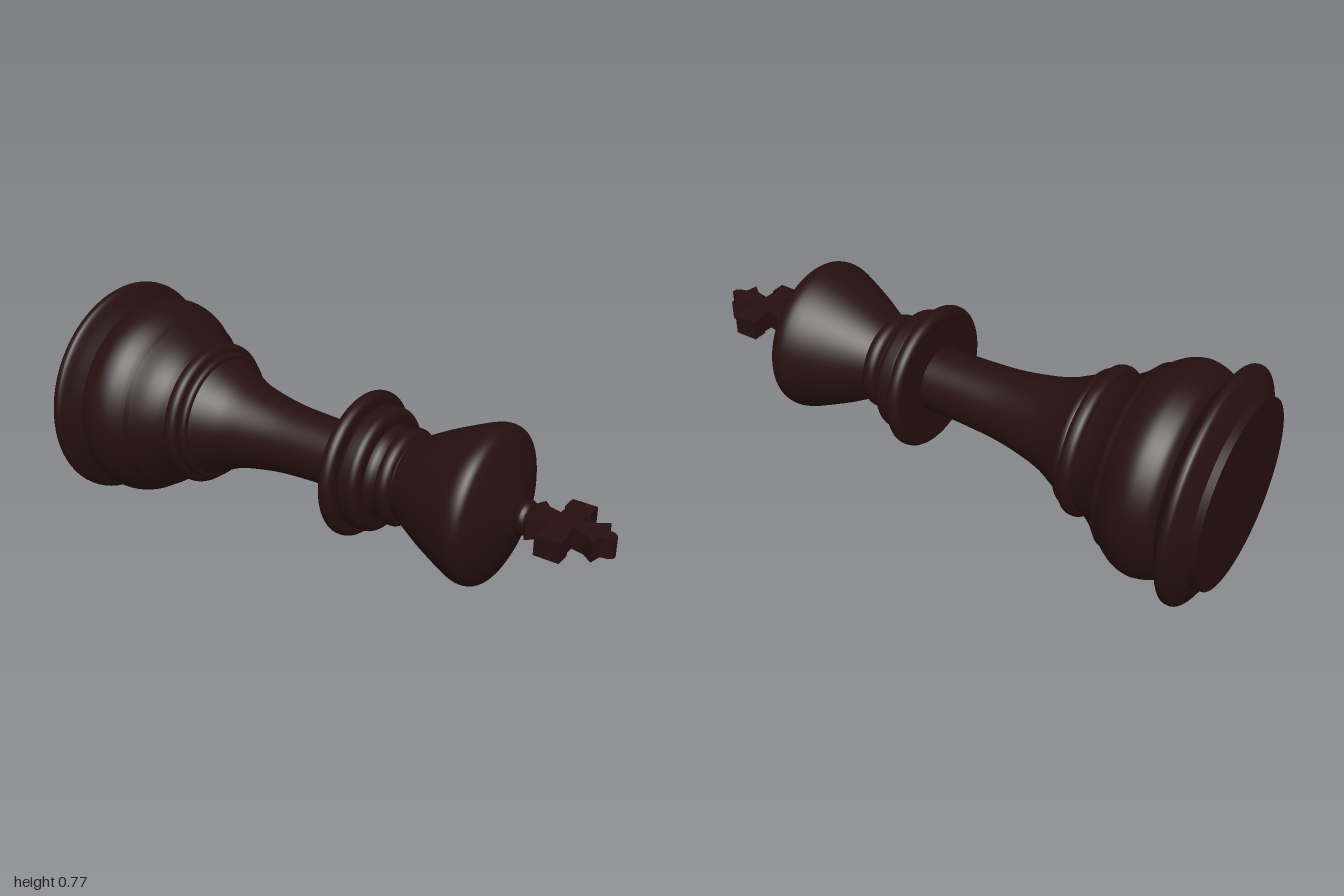
import * as THREE from 'three';

const AXIS_Y = 0.39;
const SEGMENTS = 72;

export function createModel() {
  const group = new THREE.Group();
  const darkWood = new THREE.MeshStandardMaterial({ color: 0x260f0f });
  darkWood.name = 'darkWood';

  function add(name, geometry) {
    const mesh = new THREE.Mesh(geometry, darkWood);
    mesh.name = name;
    mesh.position.y = AXIS_Y;
    group.add(mesh);
  }

  // Turned part along z; the profile lists [radius, z] from back to front
  function turned(name, profile, smooth = true) {
    let points = profile.map(([r, z]) => new THREE.Vector2(r, z));
    if (smooth) {
      points = new THREE.SplineCurve(points).getPoints(profile.length * 5);
      points.forEach((p) => { p.x = Math.max(p.x, 0); });
    }
    add(name, new THREE.LatheGeometry(points, SEGMENTS).rotateX(Math.PI / 2));
  }

  // Rounded ring: closed ends run back to the axis
  function ring(name, z0, z1, radius, round = (z1 - z0) / 2) {
    const points = [[0, z0], [radius - round, z0]];
    for (let i = 1; i <= 6; i++) {
      const a = (i / 6) * Math.PI / 2;
      points.push([radius - round + round * Math.sin(a), z0 + round * (1 - Math.cos(a))]);
    }
    for (let i = 0; i <= 6; i++) {
      const a = (i / 6) * Math.PI / 2;
      points.push([radius - round + round * Math.cos(a), z1 - round + round * Math.sin(a)]);
    }
    points.push([0, z1]);
    turned(name, points, false);
  }

  // Foot
  add('baseUnderside', new THREE.CircleGeometry(0.31, SEGMENTS).rotateY(Math.PI).translate(0, 0, -1));
  turned('baseEdge', [[0.31, -1], [0.31, -0.975]], false);
  turned('baseRim', [[0.31, -0.975], [0.345, -0.957], [0.38, -0.938], [0.387, -0.922],
    [0.38, -0.906], [0.345, -0.888], [0.31, -0.868]]);
  turned('baseBulge', [[0.31, -0.868], [0.335, -0.845], [0.35, -0.805], [0.354, -0.77],
    [0.345, -0.73], [0.325, -0.695], [0.31, -0.677]]);
  turned('baseStep', [[0.31, -0.677], [0.305, -0.66]], false);
  turned('baseCove', [[0.305, -0.66], [0.27, -0.625], [0.243, -0.585], [0.23, -0.55]]);
  ring('baseRing', -0.555, -0.503, 0.252, 0.022);
  ring('baseCollar', -0.51, -0.475, 0.228, 0.015);

  // Stem
  turned('stem', [[0.215, -0.485], [0.185, -0.43], [0.158, -0.37], [0.138, -0.29],
    [0.122, -0.19], [0.115, -0.08], [0.112, 0.02], [0.112, 0.1]]);

  // Collars
  ring('wideCollar', 0.088, 0.138, 0.248, 0.023);
  ring('middleCollar', 0.13, 0.21, 0.21, 0.025);
  turned('neck', [[0.165, 0.205], [0.148, 0.225], [0.143, 0.26], [0.142, 0.31]]);
  ring('neckRing', 0.245, 0.298, 0.165, 0.024);

  // Crown
  turned('crown', [[0.138, 0.295], [0.165, 0.345], [0.2, 0.41], [0.235, 0.485],
    [0.256, 0.535], [0.264, 0.57], [0.257, 0.6], [0.23, 0.62], [0.16, 0.65],
    [0.09, 0.674], [0.045, 0.69], [0, 0.693]]);
  ring('finialBead', 0.683, 0.726, 0.057, 0.021);

  // Cross, drawn in x and z and extruded through y
  const half = [[0.035, 0.715], [0.07, 0.735], [0.045, 0.76], [0.035, 0.8], [0.068, 0.803],
    [0.075, 0.795], [0.127, 0.795], [0.127, 0.88], [0.075, 0.88], [0.068, 0.872],
    [0.03, 0.873], [0.038, 0.915], [0.066, 0.952], [0.024, 0.962],
    [0.02, 0.985], [0.01, 0.998], [0, 1]];
  const outline = [...half, ...half.slice(0, -1).reverse().map(([x, z]) => [-x, z])];
  const shape = new THREE.Shape(outline.map(([x, z]) => new THREE.Vector2(x, z)));
  const cross = new THREE.ExtrudeGeometry(shape, { depth: 0.07, bevelEnabled: false });
  add('cross', cross.translate(0, 0, -0.035).rotateX(Math.PI / 2));

  return group;
}
